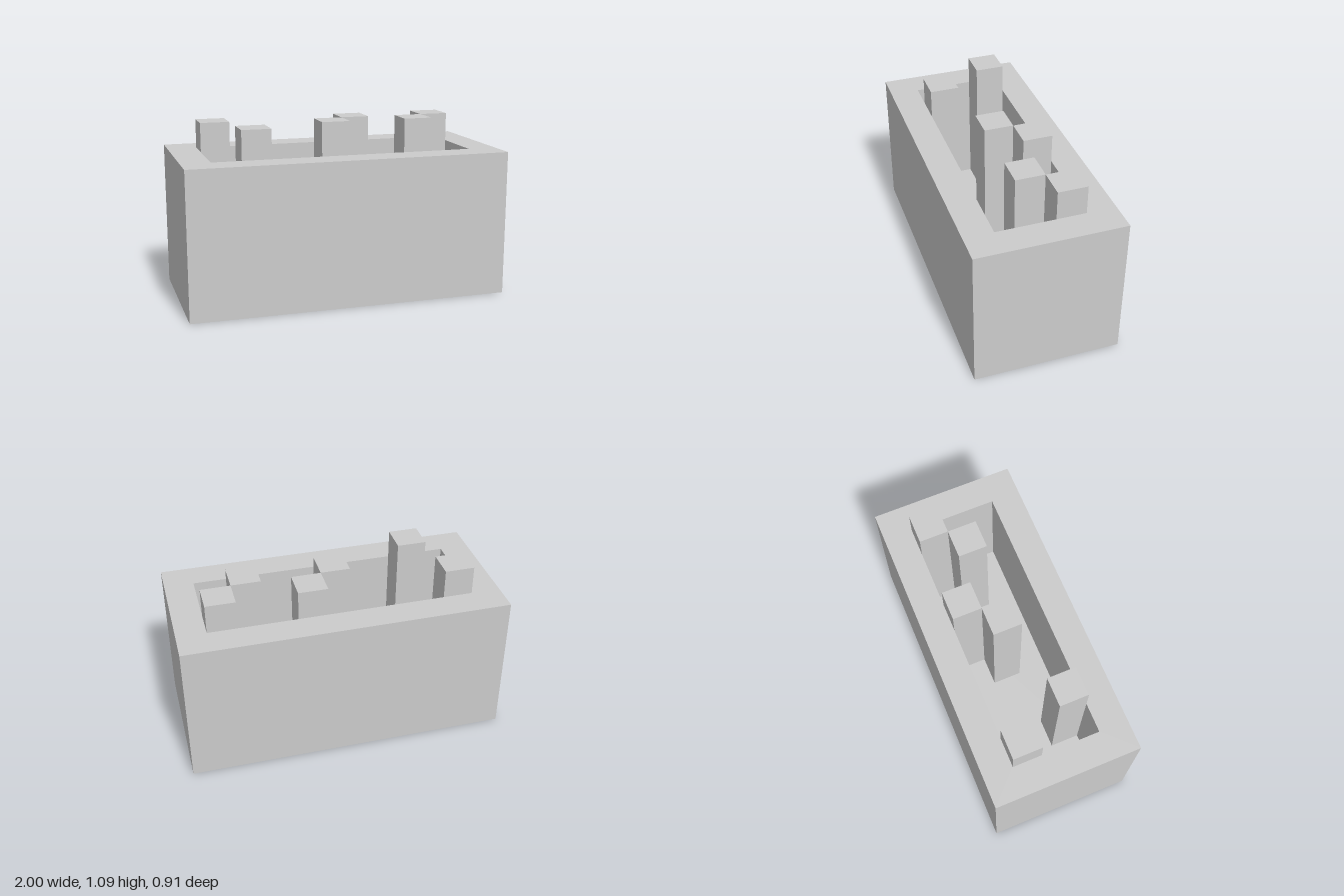
import * as THREE from 'three';

const U = 2 / 11; // one grid block

export function createModel() {
  const model = new THREE.Group();
  const material = new THREE.MeshStandardMaterial({ color: 0xcccccc, flatShading: true });

  const rect = (Path, w, d) => new Path([
    new THREE.Vector2(-w / 2, -d / 2), new THREE.Vector2(w / 2, -d / 2),
    new THREE.Vector2(w / 2, d / 2), new THREE.Vector2(-w / 2, d / 2),
  ]);

  function add(name, geometry, x, y, z) {
    const mesh = new THREE.Mesh(geometry, material);
    mesh.name = name;
    mesh.position.set(x, y, z);
    model.add(mesh);
  }

  // Walls: rectangular ring, one block thick, above the base
  const ring = rect(THREE.Shape, 11 * U, 5 * U);
  ring.holes.push(rect(THREE.Path, 9 * U, 3 * U));
  const walls = new THREE.ExtrudeGeometry(ring, { depth: 4 * U, bevelEnabled: false });
  walls.rotateX(-Math.PI / 2);
  add('walls', walls, 0, U, 0);

  // Solid base
  add('base', new THREE.BoxGeometry(11 * U, U, 5 * U), 0, U / 2, 0);

  // Square posts from the floor to one block above the rim, as [column, row]
  const post = new THREE.BoxGeometry(U, 5 * U, U);
  const spots = [[-4, -1], [-3, 1], [0, 0], [1, -1], [3, 0], [4, -1]];
  spots.forEach(([i, k], n) => add(`post${n + 1}`, post, i * U, 3.5 * U, k * U));

  return model;
}
